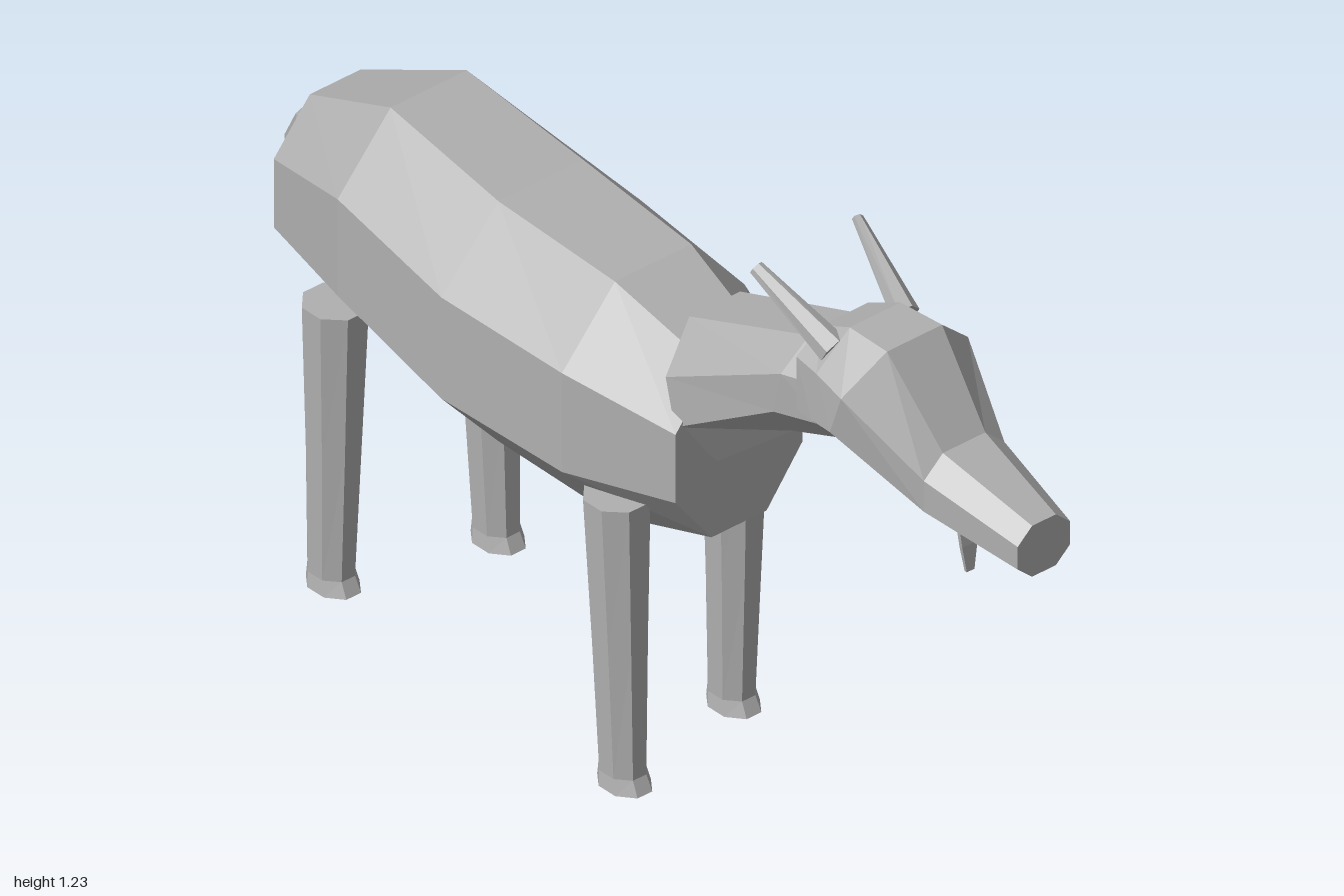
import * as THREE from 'three';

const coat = new THREE.MeshStandardMaterial({ color: 0xb0b0b0 });
coat.name = 'grey coat';

// Skin a list of closed rings, each an array of Vector3, with a cap at both ends.
function loft(name, rings) {
  const pos = [];
  const tri = (...pts) => pts.forEach((p) => pos.push(p.x, p.y, p.z));
  const n = rings[0].length;
  for (let i = 0; i < rings.length - 1; i++) {
    for (let j = 0; j < n; j++) {
      const k = (j + 1) % n;
      const [a, b, c, d] = [rings[i][j], rings[i][k], rings[i + 1][k], rings[i + 1][j]];
      tri(a, b, c);
      tri(a, c, d);
    }
  }
  const first = rings[0], last = rings[rings.length - 1];
  for (let j = 1; j < n - 1; j++) {
    tri(first[0], first[j + 1], first[j]);
    tri(last[0], last[j], last[j + 1]);
  }
  const geo = new THREE.BufferGeometry();
  geo.setAttribute('position', new THREE.Float32BufferAttribute(pos, 3));
  geo.computeVertexNormals(); // unshared corners give flat facets
  const mesh = new THREE.Mesh(geo, coat);
  mesh.name = name;
  return mesh;
}

// Eight-sided section facing z: four heights from bottom to top, widths at
// the belly, flank and back, and a z for the bottom and the top.
function section(x, zBottom, zTop, [y0, y1, y2, y3], [wBottom, wSide, wTop]) {
  const p = (w, y) => new THREE.Vector3(x + w, y, zBottom + (zTop - zBottom) * (y - y0) / (y3 - y0));
  return [
    p(wBottom, y0), p(wSide, y1), p(wSide, y2), p(wTop, y3),
    p(-wTop, y3), p(-wSide, y2), p(-wSide, y1), p(-wBottom, y0),
  ];
}

// Flat horizontal ring, widest across its sides.
function levelRing(x, y, z, rx, rz, n = 8) {
  const k = 1 / Math.cos(Math.PI / n);
  return Array.from({ length: n }, (_, i) => {
    const a = (i + 0.5) * 2 * Math.PI / n;
    return new THREE.Vector3(x + rx * k * Math.cos(a), y, z - rz * k * Math.sin(a));
  });
}

// Ring around a point, square to a direction.
function tubeRing(center, dir, rx, ry, n = 6) {
  const q = new THREE.Quaternion().setFromUnitVectors(new THREE.Vector3(0, 0, 1), dir.clone().normalize());
  return Array.from({ length: n }, (_, i) => {
    const a = i * 2 * Math.PI / n;
    return new THREE.Vector3(rx * Math.cos(a), ry * Math.sin(a), 0).applyQuaternion(q).add(center);
  });
}

export function createModel() {
  const goat = new THREE.Group();
  goat.name = 'goat';
  const V = (x, y, z) => new THREE.Vector3(x, y, z);

  // Barrel body, from rump to chest
  goat.add(loft('body', [
    section(0, -0.85, -0.85, [0.60, 0.70, 0.845, 0.945], [0.06, 0.145, 0.06]),
    section(0, -0.60, -0.60, [0.565, 0.71, 0.915, 1.055], [0.09, 0.215, 0.09]),
    section(0, -0.30, -0.30, [0.50, 0.65, 0.865, 1.01], [0.10, 0.235, 0.10]),
    section(0, 0, 0, [0.49, 0.635, 0.845, 0.985], [0.095, 0.215, 0.09]),
    section(0, 0.23, 0.23, [0.545, 0.655, 0.80, 0.905], [0.065, 0.15, 0.065]),
  ]));

  // Neck, leaning forward into the head
  goat.add(loft('neck', [
    section(0, 0.235, 0.165, [0.705, 0.80, 0.895, 0.98], [0.055, 0.135, 0.06]),
    section(0, 0.43, 0.48, [0.865, 0.94, 1.03, 1.095], [0.05, 0.11, 0.055]),
    section(0.01, 0.57, 0.56, [0.91, 0.96, 1.04, 1.10], [0.045, 0.10, 0.05]),
  ]));

  // Head, turned slightly to its left
  goat.add(loft('head', [
    section(0.003, 0.51, 0.51, [0.93, 0.98, 1.09, 1.13], [0.05, 0.115, 0.055]),
    section(0.008, 0.55, 0.585, [0.91, 0.985, 1.09, 1.163], [0.055, 0.13, 0.06]),
    section(0.017, 0.59, 0.68, [0.90, 0.995, 1.08, 1.157], [0.06, 0.15, 0.065]),
    section(0.028, 0.80, 0.80, [0.84, 0.885, 0.95, 0.99], [0.04, 0.095, 0.05]),
    section(0.04, 1.0, 1.0, [0.812, 0.842, 0.89, 0.92], [0.028, 0.062, 0.028]),
  ]));

  // Swept-back horns
  for (const [side, name] of [[1, 'leftHorn'], [-1, 'rightHorn']]) {
    const base = V(0.008 + side * 0.085, 1.12, 0.57);
    const tip = V(0.014 + side * 0.12, 1.22, 0.395);
    const dir = tip.clone().sub(base);
    goat.add(loft(name, [
      tubeRing(base, dir, 0.03, 0.026),
      tubeRing(tip, dir, 0.014, 0.01),
    ]));
  }

  // Thin pointed beard
  goat.add(loft('beard', [
    levelRing(0.025, 0.73, 0.818, 0.009, 0.003, 4),
    levelRing(0.025, 0.785, 0.815, 0.018, 0.004, 4),
    levelRing(0.025, 0.86, 0.808, 0.024, 0.004, 4),
  ]));

  // Drooping tail
  goat.add(loft('tail', [
    tubeRing(V(-0.005, 0.875, -0.83), V(0, -0.2, -1), 0.048, 0.04),
    tubeRing(V(0.005, 0.83, -0.92), V(0.1, -0.7, -1), 0.038, 0.03),
    tubeRing(V(0.022, 0.748, -0.99), V(0.1, -1, -0.8), 0.018, 0.014),
  ]));

  // Legs in mid-stride: side, hoof height, z at the top and at the hoof
  const legs = [
    ['leftFrontLeg', 1, 0, 0.042, 0.035],
    ['rightFrontLeg', -1, 0, 0.08, 0.097],
    ['leftBackLeg', 1, 0.033, -0.62, -0.595],
    ['rightBackLeg', -1, 0.033, -0.672, -0.682],
  ];
  for (const [name, side, y, zTop, zFoot] of legs) {
    const x = side * 0.156;
    goat.add(loft(name, [
      levelRing(x, y, zFoot + 0.004, 0.042, 0.054),
      levelRing(x, y + 0.03, zFoot - 0.002, 0.038, 0.046),
      levelRing(x, y + 0.3, (zTop + zFoot) / 2, 0.047, 0.052),
      levelRing(x, y + 0.603, zTop, 0.058, 0.06),
    ]));
  }
  return goat;
}
